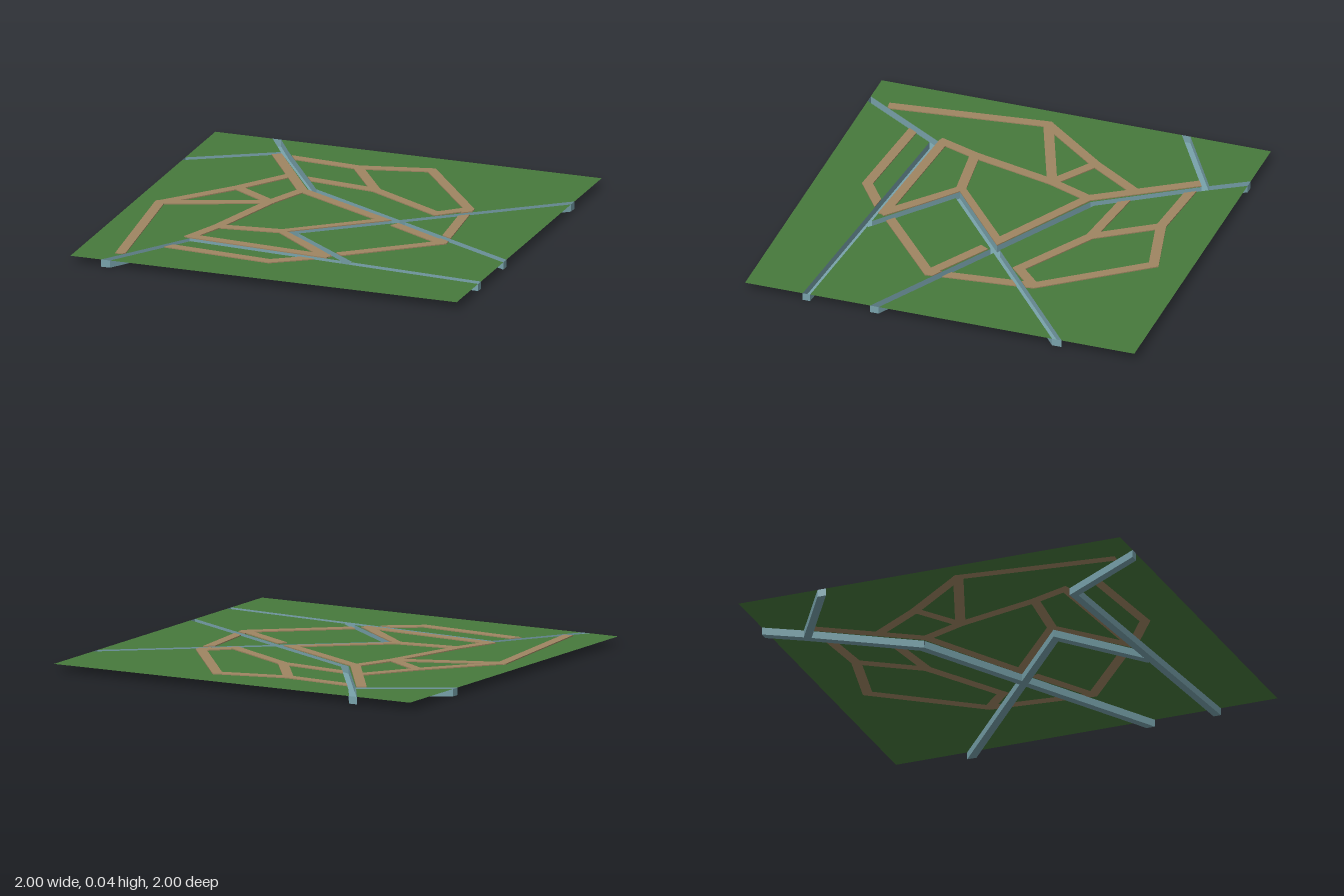
import * as THREE from 'three';

const GROUND_Y = 0.037, PATH_TOP = 0.042, RIVER_W = 0.038, PATH_W = 0.05;

// Centre lines as [x, z]; rivers run past the border and are trimmed to it
const RIVERS = [
  [[-0.743, -1.1], [-0.57, -0.82], [-0.25, -0.345], [1.1, 0.39]],
  [[-1.1, -0.505], [-0.575, -0.815]],
  [[1.1, -0.683], [0.31, -0.045], [-0.112, 0.297], [0.3, 0.622]],
  [[1.1, 0.692], [-0.542, 0.57], [-0.882, 1.1]],
];
const PATHS = [
  [[-0.6, -0.78], [-0.29, -0.31], [0.235, -0.03], [-0.165, 0.3], [0.165, 0.58]],
  [[-0.52, -0.76], [-0.16, -0.73], [0.19, -0.815], [0.565, -0.33], [0.62, 0.19], [0.2, 0.54]],
  [[-0.16, -0.73], [0.04, -0.44], [0.44, -0.21], [0.565, -0.33]],
  [[-0.33, -0.485], [0.04, -0.44]],
  [[-0.43, -0.495], [-0.6, -0.24], [-0.875, 0.1], [-0.785, 0.875]],
  [[-0.6, -0.24], [-0.375, -0.095]],
  [[-0.875, 0.1], [-0.375, -0.095]],
  [[-0.29, -0.31], [-0.375, -0.095], [-0.485, 0.34], [-0.555, 0.535]],
  [[-0.165, 0.3], [-0.485, 0.34]],
  [[0.165, 0.58], [-0.54, 0.527]],
  [[0.32, 0.02], [0.62, 0.19]],
  [[0.1, 0.63], [-0.065, 0.745], [-0.61, 0.7]],
];
const SQUARE = [[-1, -1], [1, -1], [1, 1], [-1, 1]];

const area = (p) => p.reduce((s, a, i) => {
  const b = p[(i + 1) % p.length];
  return s + (a[0] * b[1] - b[0] * a[1]) / 2;
}, 0);

// Signed distance of p from the line a-b, positive on the inner side
function distance(p, a, b) {
  const dx = b[0] - a[0], dz = b[1] - a[1];
  return (dx * (p[1] - a[1]) - dz * (p[0] - a[0])) / Math.hypot(dx, dz);
}

// Keep the part of a convex polygon on one side of a line
function clip(poly, a, b, side) {
  const out = [];
  poly.forEach((p, i) => {
    const q = poly[(i + 1) % poly.length];
    const dp = side * distance(p, a, b), dq = side * distance(q, a, b);
    if (dp >= 0) out.push(p);
    if ((dp > 0 && dq < 0) || (dp < 0 && dq > 0)) {
      const t = dp / (dp - dq);
      out.push([p[0] + (q[0] - p[0]) * t, p[1] + (q[1] - p[1]) * t]);
    }
  });
  return out;
}

const edges = (poly) => poly.map((a, i) => [a, poly[(i + 1) % poly.length]])
  .filter(([a, b]) => Math.hypot(a[0] - b[0], a[1] - b[1]) > 1e-6);

const intersect = (poly, cutter) => edges(cutter).reduce((p, [a, b]) => clip(p, a, b, 1), poly);

// Cut convex polygons away from a list of convex polygons
function subtract(polys, cutters) {
  for (const cutter of cutters) {
    const result = [];
    for (const poly of polys) {
      if (Math.abs(area(intersect(poly, cutter))) < 1e-7) { result.push(poly); continue; }
      let rest = poly;
      for (const [a, b] of edges(cutter)) {
        const outside = clip(rest, a, b, -1);
        if (outside.length > 2 && Math.abs(area(outside)) > 1e-7) result.push(outside);
        rest = clip(rest, a, b, 1);
      }
    }
    polys = result;
  }
  return polys;
}

// Mitred quads along a centre line, with the two ends lengthened
function strip(line, width, extend) {
  const pts = line.map((p) => new THREE.Vector2(...p));
  const n = pts.length - 1;
  const dirs = pts.slice(1).map((p, i) => p.clone().sub(pts[i]).normalize());
  pts[0].addScaledVector(dirs[0], -extend);
  pts[n].addScaledVector(dirs[n - 1], extend);
  const sides = pts.map((p, i) => {
    const d0 = dirs[Math.max(i - 1, 0)], d1 = dirs[Math.min(i, n - 1)];
    const m = new THREE.Vector2(-d0.y - d1.y, d0.x + d1.x).normalize();
    m.multiplyScalar(width / 2 / (m.y * d0.x - m.x * d0.y));
    return [[p.x - m.x, p.y - m.y], [p.x + m.x, p.y + m.y]];
  });
  return dirs.map((_, i) => {
    const quad = [sides[i][0], sides[i + 1][0], sides[i + 1][1], sides[i][1]];
    return area(quad) < 0 ? quad.reverse() : quad;
  });
}

// Remove overlaps within one list
const disjoint = (polys) => polys.flatMap((p, i) => subtract([p], polys.slice(0, i)));

const toShapes = (polys) => polys.map((p) => new THREE.Shape(p.map(([x, z]) => new THREE.Vector2(x, -z))));

// Upright faces along the outer outline of the joined quads
function wallGeometry(quads, y0, y1) {
  const pos = [];
  quads.forEach((quad, i) => edges(quad).forEach(([a, b]) => {
    const at = (t) => [a[0] + (b[0] - a[0]) * t, a[1] + (b[1] - a[1]) * t];
    let spans = [[0, 1]];
    quads.forEach((other, j) => {
      if (i === j) return;
      let lo = 0, hi = 1;
      for (const [c, d] of edges(other)) {
        const da = distance(a, c, d) + 1e-4, db = distance(b, c, d) + 1e-4;
        if (da < 0 && db < 0) { hi = -1; break; }
        if (da < 0) lo = Math.max(lo, da / (da - db));
        else if (db < 0) hi = Math.min(hi, da / (da - db));
      }
      if (hi > lo) spans = spans.flatMap(([s, e]) => [[s, Math.min(e, lo)], [Math.max(s, hi), e]]);
      spans = spans.filter(([s, e]) => e - s > 1e-4);
    });
    for (const [s, e] of spans) {
      const [px, pz] = at(s), [qx, qz] = at(e);
      pos.push(px, y0, pz, px, y1, pz, qx, y1, qz, px, y0, pz, qx, y1, qz, qx, y0, qz);
    }
  }));
  const geo = new THREE.BufferGeometry();
  geo.setAttribute('position', new THREE.Float32BufferAttribute(pos, 3));
  geo.computeVertexNormals();
  return geo;
}

export function createModel() {
  const material = (name, color) => {
    const m = new THREE.MeshStandardMaterial({ color, side: THREE.DoubleSide });
    m.name = name;
    return m;
  };
  const grass = material('grass', 0x47793c);
  const earth = material('earth', 0x9f8562);
  const water = material('water', 0x78a2ab);

  const group = new THREE.Group();
  group.name = 'landscape';
  const add = (name, geometry, mat) => {
    const mesh = new THREE.Mesh(geometry, mat);
    mesh.name = name;
    group.add(mesh);
  };
  const sheet = (polys, y) => new THREE.ShapeGeometry(toShapes(polys)).rotateX(-Math.PI / 2).translate(0, y, 0);

  const rivers = RIVERS.flatMap((l) => strip(l, RIVER_W, 0)).map((q) => intersect(q, SQUARE));
  const pathQuads = PATHS.flatMap((l) => strip(l, PATH_W, 0.015));

  // Grass sheet, open above the channels and under the paths
  add('ground', sheet(subtract([SQUARE], [...rivers, ...pathQuads]), GROUND_Y), grass);

  // Slightly raised paths, cut back at the river banks
  const paths = subtract(disjoint(pathQuads), rivers);
  add('paths', new THREE.ExtrudeGeometry(toShapes(paths), { depth: PATH_TOP - GROUND_Y, bevelEnabled: false })
    .rotateX(-Math.PI / 2).translate(0, GROUND_Y, 0), earth);

  // Sunken river channels: floor and banks
  add('riverBed', sheet(disjoint(rivers), 0), water);
  add('riverBanks', wallGeometry(rivers, 0, GROUND_Y), water);
  return group;
}
